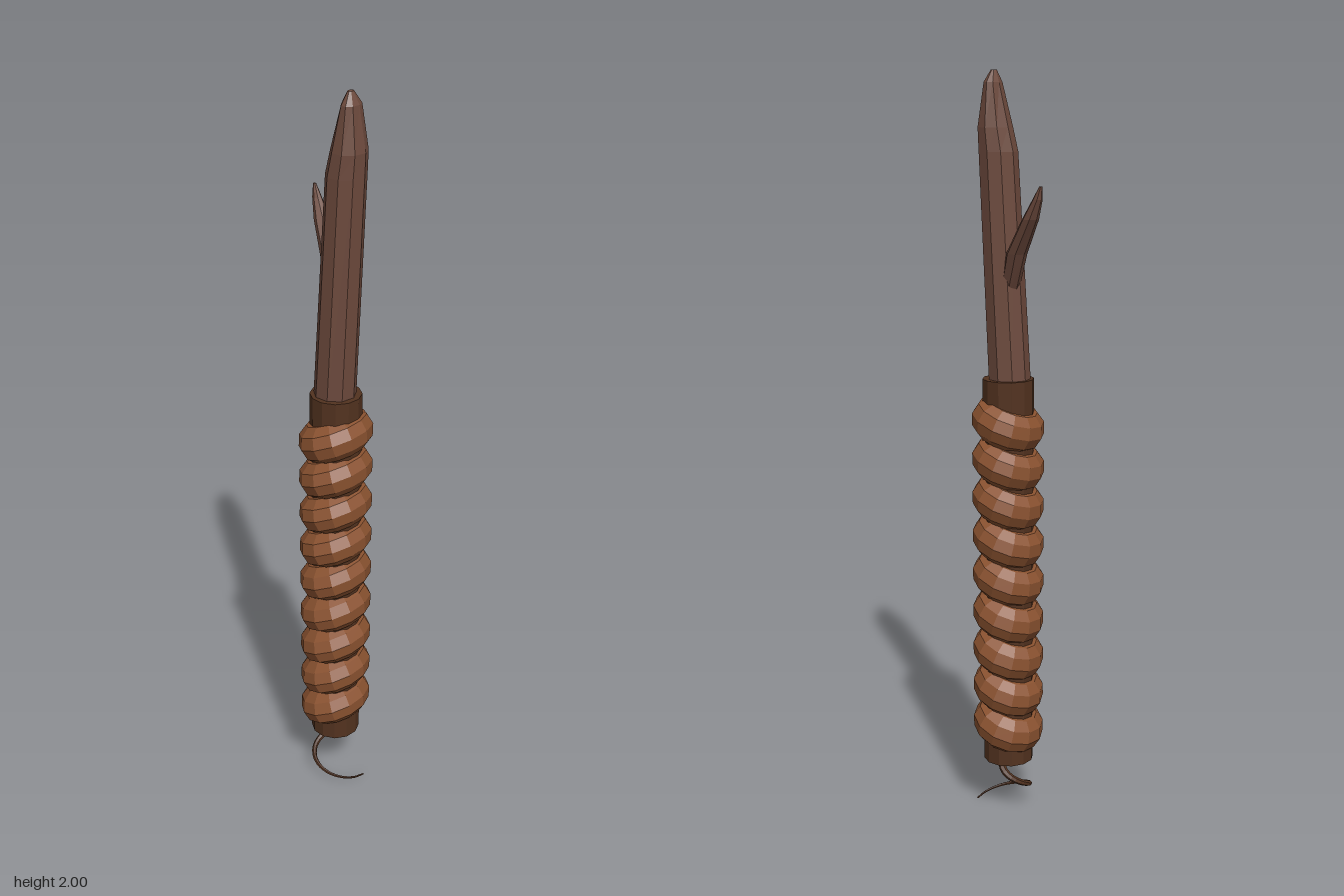
import * as THREE from 'three';

const AXIS_X = 0.018;

// Skin over level elliptical sections [x, y, z, rx, rz], bottom to top, closed at both ends
function loft(sections, sides) {
  const pos = [], idx = [];
  for (const [x, y, z, rx, rz] of sections) {
    for (let j = 0; j < sides; j++) {
      const a = (j / sides) * Math.PI * 2;
      pos.push(x + Math.cos(a) * rx, y, z + Math.sin(a) * rz);
    }
  }
  const last = sections.length - 1;
  const bottom = pos.length / 3, top = bottom + 1;
  pos.push(...sections[0].slice(0, 3), ...sections[last].slice(0, 3));
  for (let j = 0; j < sides; j++) {
    const k = (j + 1) % sides;
    for (let i = 0; i < last; i++) {
      const a = i * sides + j, b = i * sides + k;
      idx.push(a, a + sides, b, b, a + sides, b + sides);
    }
    idx.push(bottom, j, k, top, last * sides + k, last * sides + j);
  }
  const g = new THREE.BufferGeometry();
  g.setAttribute('position', new THREE.Float32BufferAttribute(pos, 3));
  g.setIndex(idx);
  const flat = g.toNonIndexed();
  flat.computeVertexNormals();
  return flat;
}

// Tube that narrows from full radius at the start to a share of it at the end
function taperedTube(curve, segments, radius, endShare, sides) {
  const g = new THREE.TubeGeometry(curve, segments, radius, sides);
  const p = g.attributes.position, v = new THREE.Vector3();
  for (let i = 0; i < p.count; i++) {
    const t = Math.floor(i / (sides + 1)) / segments;
    const c = curve.getPointAt(t);
    v.fromBufferAttribute(p, i).sub(c).multiplyScalar(1 + (endShare - 1) * t).add(c);
    p.setXYZ(i, v.x, v.y, v.z);
  }
  g.computeVertexNormals();
  return g;
}

export function createModel() {
  const model = new THREE.Group();
  const mat = (name, color) => {
    const m = new THREE.MeshStandardMaterial({ color, flatShading: true });
    m.name = name;
    return m;
  };
  const wood = mat('wood', 0x6d4a3d);
  const cord = mat('cord', 0x8a5230);
  const leather = mat('darkLeather', 0x52321f);
  const add = (name, geometry, material, parent = model) => {
    const m = new THREE.Mesh(geometry, material);
    m.name = name;
    parent.add(m);
    return m;
  };

  // Handle sleeve
  add('gripCore', new THREE.CylinderGeometry(0.068, 0.068, 1.07, 12), leather)
    .position.set(AXIS_X, 0.685, 0);

  // Tilted cord rings around the handle
  const wrap = new THREE.Group();
  wrap.name = 'gripWrap';
  wrap.position.x = AXIS_X;
  wrap.scale.x = 0.9;
  model.add(wrap);
  const ringGeometry = new THREE.TorusGeometry(0.056, 0.053, 10, 12).rotateX(Math.PI / 2);
  for (let i = 0; i < 9; i++) {
    const ring = add('wrapRing' + (i + 1), ringGeometry, cord, wrap);
    ring.position.y = 0.252 + i * 0.106;
    ring.rotation.z = 0.33;
  }

  // Leaning stick with a whittled tip
  add('stick', loft([
    [0.012, 1.1, 0, 0.055, 0.055],
    [0.015, 1.22, 0, 0.056, 0.055],
    [0.045, 1.8, 0, 0.051, 0.052],
    [0.053, 1.86, 0, 0.045, 0.049],
    [0.058, 1.97, 0, 0.022, 0.033],
    [0.056, 2, 0, 0.007, 0.01],
  ], 9), wood);

  // Side twig
  add('twig', loft([
    [0.012, 1.44, -0.01, 0.024, 0.024],
    [-0.026, 1.55, -0.052, 0.028, 0.024],
    [-0.078, 1.64, -0.09, 0.022, 0.02],
    [-0.103, 1.69, -0.106, 0.013, 0.011],
    [-0.114, 1.722, -0.112, 0.004, 0.004],
  ], 7), wood);

  // Loose cord end, a widening spiral below the handle
  const points = [];
  for (let i = 0; i <= 16; i++) {
    const t = i / 16, a = -t * Math.PI * 2;
    const r = 0.008 + 0.088 * t;
    points.push(new THREE.Vector3(
      AXIS_X + Math.cos(a) * r, 0.003 + 0.157 * Math.pow(1 - t, 1.1), Math.sin(a) * r));
  }
  add('looseCord', taperedTube(new THREE.CatmullRomCurve3(points), 32, 0.011, 0.2, 6), leather);

  return model;
}
